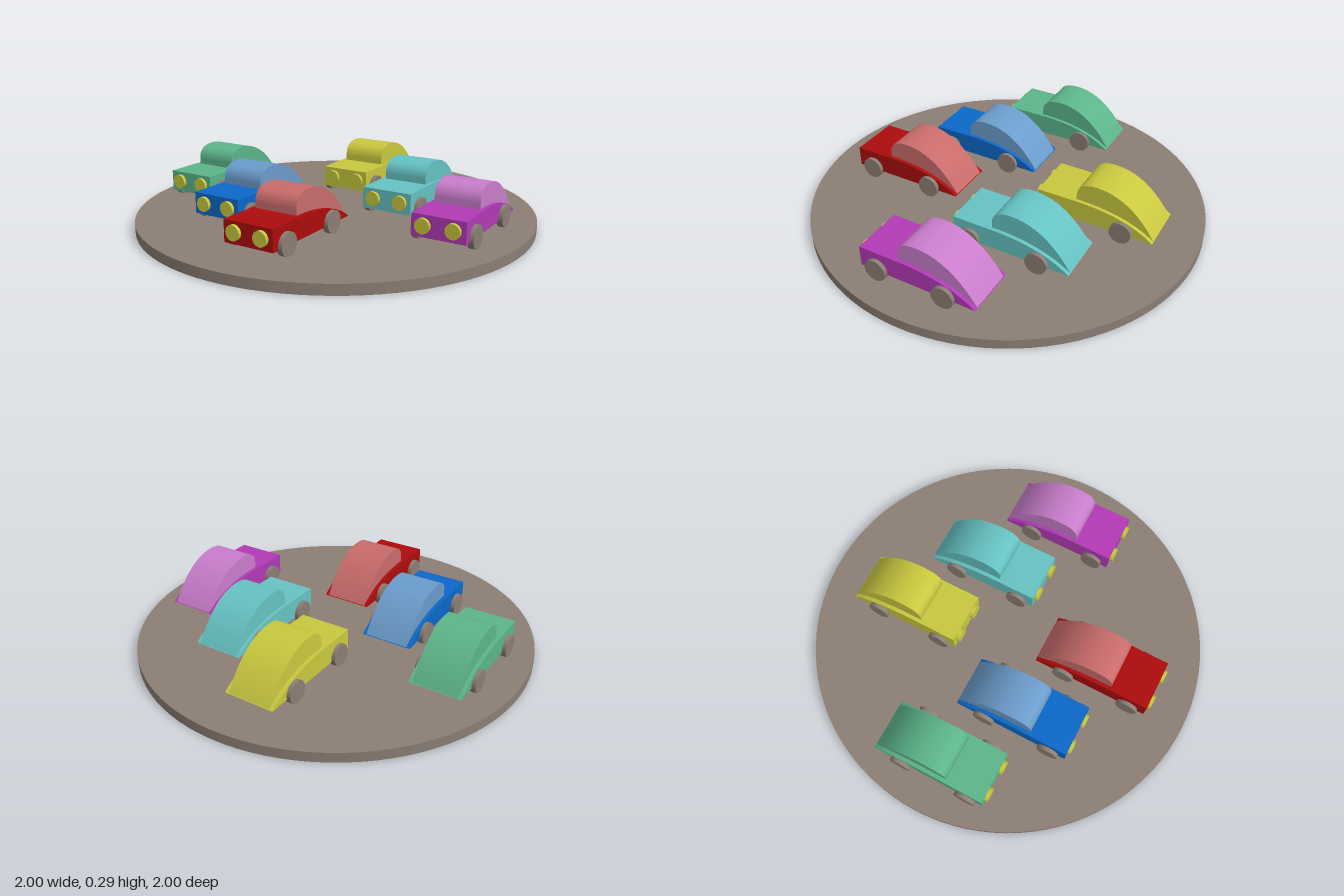
import * as THREE from 'three';
import { toCreasedNormals } from 'three/addons/utils/BufferGeometryUtils.js';

const mat = (name, color) => {
  const m = new THREE.MeshStandardMaterial({ color });
  m.name = name;
  return m;
};

// Extrude a side profile across the car's width, centred on z = 0
function slab(shape, width) {
  const g = new THREE.ExtrudeGeometry(shape, { depth: width, bevelEnabled: false, curveSegments: 20 });
  g.translate(0, 0, -width / 2);
  return toCreasedNormals(g, 0.5);
}

function bodyGeometry() {
  const s = new THREE.Shape();
  s.moveTo(-0.3, 0.09);
  s.lineTo(0.3, 0.09);
  s.bezierCurveTo(0.22, 0.15, 0.1, 0.195, -0.1, 0.195);
  s.lineTo(-0.3, 0.195);
  s.closePath();
  return slab(s, 0.26);
}

function cabinGeometry() {
  const s = new THREE.Shape();
  s.moveTo(-0.102, 0.1);
  s.lineTo(0.298, 0.093);
  s.bezierCurveTo(0.25, 0.17, 0.15, 0.295, 0, 0.295);
  s.bezierCurveTo(-0.07, 0.295, -0.102, 0.27, -0.102, 0.22);
  s.closePath();
  return slab(s, 0.222);
}

export function createModel() {
  const model = new THREE.Group();
  const brown = mat('brown', 0x8b7e74);
  const yellow = mat('yellow', 0xc8c83f);
  const green = mat('green', 0x5cb58a);
  const teal = mat('teal', 0x66c2c2);
  const red = mat('red', 0xad0c0c), pink = mat('light red', 0xc96b6b);
  const blue = mat('blue', 0x0b68c8), sky = mat('light blue', 0x6b9ccb);
  const purple = mat('purple', 0xb23ab6), lilac = mat('light purple', 0xc87dcb);

  const add = (parent, name, geometry, material, x = 0, y = 0, z = 0) => {
    const m = new THREE.Mesh(geometry, material);
    m.name = name;
    m.position.set(x, y, z);
    parent.add(m);
  };

  // Round platform
  add(model, 'platform', new THREE.CylinderGeometry(1, 1, 0.05, 96), brown, 0, 0.025, 0);

  // Shared car parts
  const body = bodyGeometry();
  const cabin = cabinGeometry();
  const wheel = new THREE.CylinderGeometry(0.055, 0.055, 0.03, 32).rotateX(Math.PI / 2);
  const lamp = new THREE.CylinderGeometry(0.036, 0.036, 0.03, 32).rotateZ(Math.PI / 2);

  // Cars: x, z, body colour, cabin colour; each nose points to local -x
  const cars = [
    ['greenCar', -0.384, -0.593, green, green],
    ['blueCar', -0.384, -0.136, blue, sky],
    ['redCar', -0.384, 0.32, red, pink],
    ['yellowCar', 0.386, -0.33, yellow, yellow],
    ['tealCar', 0.386, 0.127, teal, teal],
    ['purpleCar', 0.386, 0.585, purple, lilac],
  ];
  for (const [name, x, z, bodyColor, cabinColor] of cars) {
    const car = new THREE.Group();
    car.name = name;
    add(car, 'body', body, bodyColor);
    add(car, 'cabin', cabin, cabinColor);
    for (const side of [-1, 1]) {
      add(car, 'frontWheel', wheel, brown, -0.21, 0.105, side * 0.135);
      add(car, 'rearWheel', wheel, brown, 0.143, 0.105, side * 0.135);
      add(car, 'headlight', lamp, yellow, -0.302, 0.145, side * 0.072);
    }
    car.position.set(x, 0, z);
    car.rotation.y = 0.57;
    model.add(car);
  }
  return model;
}
